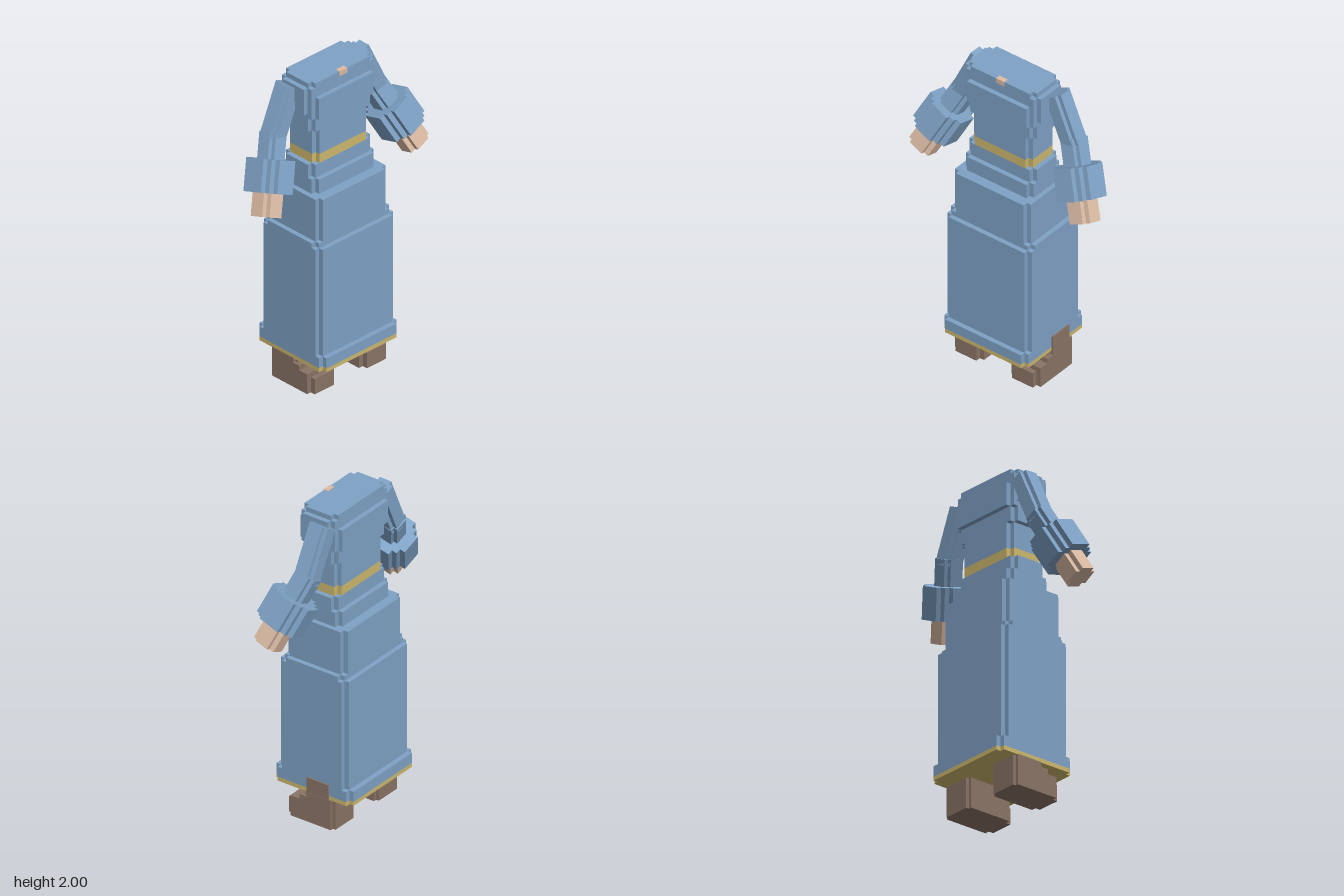
import * as THREE from 'three';

const paint = (name, color) => {
  const m = new THREE.MeshStandardMaterial({ color });
  m.name = name;
  return m;
};

// Rectangle whose corners are cut away in square steps.
function steppedShape(w, d, notch, steps) {
  const corner = [];
  for (let i = 0; i <= steps; i++) {
    const x = w / 2 - (steps - i) * notch, y = d / 2 - i * notch;
    corner.push([x, y]);
    if (i < steps) corner.push([x, y - notch]);
  }
  const flip = (sx, sy) => corner.map(([x, y]) => [x * sx, y * sy]);
  const pts = [
    ...flip(1, 1), ...flip(1, -1).reverse(),
    ...flip(-1, -1), ...flip(-1, 1).reverse(),
  ];
  return new THREE.Shape(pts.map(([x, y]) => new THREE.Vector2(x, y)));
}

// Upright prism of the stepped rectangle, centred on the origin.
function prism(w, h, d, notch = 0.03, steps = 1) {
  const g = new THREE.ExtrudeGeometry(steppedShape(w, d, notch, steps), { depth: h, bevelEnabled: false });
  g.translate(0, 0, -h / 2);
  g.rotateX(-Math.PI / 2);
  return g;
}

export function createModel() {
  const root = new THREE.Group();
  root.name = 'robe';
  const blue = paint('robe blue', 0x7fa2c6);
  const gold = paint('trim gold', 0xcdb86e);
  const skin = paint('skin', 0xdcbca5);
  const brown = paint('shoe brown', 0x8a7466);

  const add = (parent, name, geometry, material) => {
    const mesh = new THREE.Mesh(geometry, material);
    mesh.name = name;
    parent.add(mesh);
    return mesh;
  };
  const block = (parent, name, mat, [x0, x1], [y0, y1], [z0, z1], notch = 0) => {
    const w = x1 - x0, h = y1 - y0, d = z1 - z0;
    const g = notch ? prism(w, h, d, notch) : new THREE.BoxGeometry(w, h, d);
    add(parent, name, g, mat).position.set((x0 + x1) / 2, (y0 + y1) / 2, (z0 + z1) / 2);
  };

  // Skirt, from the trimmed hem to the hips
  block(root, 'hemTrim', gold, [-0.312, 0.295], [0.187, 0.213], [-0.273, 0.27], 0.03);
  block(root, 'hem', blue, [-0.312, 0.295], [0.213, 0.278], [-0.273, 0.27], 0.03);
  block(root, 'lowerSkirt', blue, [-0.312, 0.295], [0.278, 0.98], [-0.24, 0.24], 0.03);
  block(root, 'lowerSkirtTop', blue, [-0.312, 0.295], [0.98, 1.01], [-0.21, 0.21], 0.03);
  block(root, 'upperSkirt', blue, [-0.283, 0.265], [1.01, 1.285], [-0.21, 0.21], 0.03);
  block(root, 'hips', blue, [-0.252, 0.235], [1.285, 1.463], [-0.12, 0.117], 0.03);
  block(root, 'hipFold', blue, [-0.252, 0.235], [1.285, 1.378], [-0.15, 0.147], 0.03);

  // Waist, belt and chest
  block(root, 'belt', gold, [-0.22, 0.205], [1.463, 1.522], [-0.12, 0.117], 0.03);
  block(root, 'waist', blue, [-0.22, 0.205], [1.522, 1.68], [-0.12, 0.117], 0.03);
  block(root, 'ribs', blue, [-0.252, 0.235], [1.68, 2.0], [-0.12, 0.117], 0.03);
  block(root, 'chest', blue, [-0.252, 0.235], [1.77, 1.91], [-0.15, 0.147], 0.03);
  block(root, 'shoulders', blue, [-0.283, 0.265], [1.8, 1.97], [-0.12, 0.117], 0.03);
  block(root, 'neckOpening', skin, [-0.036, 0.025], [1.972, 2.003], [0.088, 0.12]);

  for (const s of [1, -1]) {
    const side = s > 0 ? 'left' : 'right';

    // Bent arm: each piece is a prism laid between two points
    const arm = new THREE.Group();
    arm.name = side + 'Arm';
    root.add(arm);
    const shoulder = new THREE.Vector3(s * 0.266, 1.94, -0.055);
    const elbow = new THREE.Vector3(s * 0.4, 1.655, -0.045);
    const tip = new THREE.Vector3(s * 0.585, 1.262, 0.092);
    const limb = (name, mat, a, b, t0, t1, w, d, notch, steps) => {
      const p = a.clone().lerp(b, t0), q = a.clone().lerp(b, t1);
      const mesh = add(arm, name, prism(w, p.distanceTo(q), d, notch, steps), mat);
      mesh.position.copy(p).add(q).multiplyScalar(0.5);
      mesh.quaternion.setFromUnitVectors(new THREE.Vector3(0, 1, 0), p.sub(q).normalize());
    };
    limb('upperSleeve', blue, shoulder, elbow, 0, 1.08, 0.13, 0.13, 0.025, 1);
    limb('lowerSleeve', blue, elbow, tip, -0.06, 0.4, 0.135, 0.135, 0.025, 1);
    limb('cuff', blue, elbow, tip, 0.28, 0.7, 0.255, 0.27, 0.033, 2);
    limb('hand', skin, elbow, tip, 0.6, 1, 0.155, 0.15, 0.03, 1);

    // Stepped shoe
    const foot = new THREE.Group();
    foot.name = side + 'Foot';
    foot.position.x = s > 0 ? 0.2 : -0.208;
    root.add(foot);
    block(foot, 'heel', brown, [-0.105, 0.105], [0, 0.19], [-0.16, 0.05], 0.02);
    block(foot, 'instep', brown, [-0.105, 0.105], [0, 0.16], [-0.1, 0.08]);
    block(foot, 'vamp', brown, [-0.105, 0.105], [0, 0.13], [0, 0.143]);
    block(foot, 'toe', brown, [-0.075, 0.075], [0, 0.1], [0.1, 0.175]);
  }

  // Boot top pushing through the side of the skirt
  block(root, 'bootTop', brown, [0.18, 0.303], [0.165, 0.285], [-0.122, 0.03]);

  return root;
}
